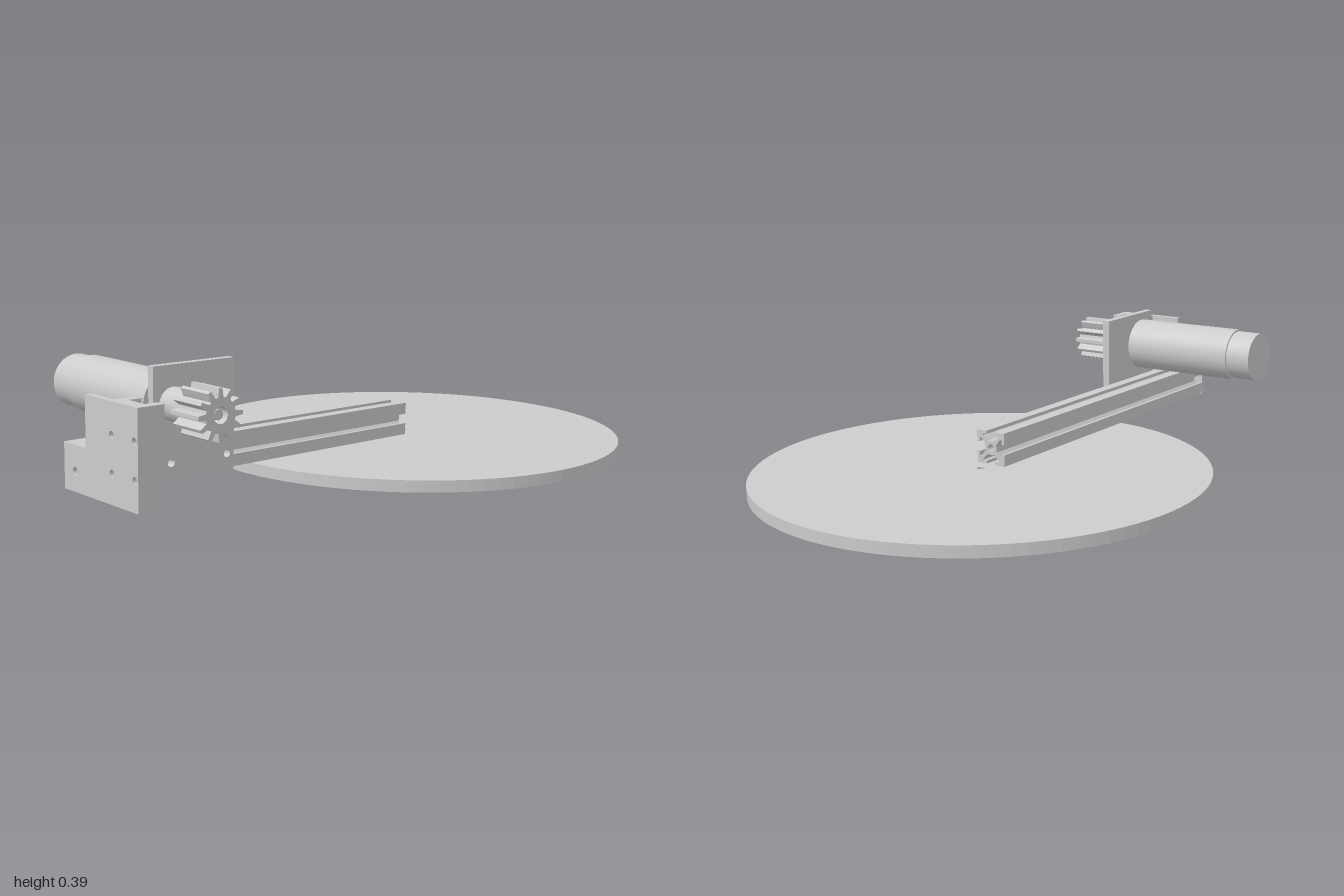
import * as THREE from 'three';

const material = new THREE.MeshStandardMaterial({ color: 0xcccccc });

function addMesh(parent, name, geometry) {
  const mesh = new THREE.Mesh(geometry, material);
  mesh.name = name;
  parent.add(mesh);
  return mesh;
}

// Shape from corner points, with round holes given as [x, y, radius]
function makeShape(points, holes = []) {
  const shape = new THREE.Shape(points.map(([x, y]) => new THREE.Vector2(x, y)));
  return addHoles(shape, holes);
}

function addHoles(shape, holes) {
  for (const [x, y, r] of holes) {
    shape.holes.push(new THREE.Path().absarc(x, y, r, 0, Math.PI * 2, true));
  }
  return shape;
}

const rect = (x0, y0, x1, y1) => [[x0, y0], [x1, y0], [x1, y1], [x0, y1]];

function extrude(shape, depth, curveSegments = 16) {
  return new THREE.ExtrudeGeometry(shape, { depth, curveSegments, bevelEnabled: false });
}

// Cylinder lying along x
function rodX(radius, x0, x1, y, z, segments = 48) {
  return new THREE.CylinderGeometry(radius, radius, x1 - x0, segments)
    .rotateZ(-Math.PI / 2)
    .translate((x0 + x1) / 2, y, z);
}

function createDisc(parent) {
  const shape = new THREE.Shape().absarc(0, 0, 0.713, 0, Math.PI * 2);
  addHoles(shape, [[0, 0, 0.013], [0, -0.075, 0.006], [0, -0.15, 0.006]]);
  addMesh(parent, 'turntableDisc', extrude(shape, 0.036, 48)
    .rotateX(-Math.PI / 2).translate(0, -0.018, 0));
}

function createRail(parent) {
  // One slotted side, repeated four times around the core
  const h = 0.053;
  const side = [
    [h, -h], [h, -0.016], [h - 0.01, -0.016], [h - 0.01, -0.03], [h - 0.016, -0.03],
    [0.022, -0.012], [0.022, 0.012],
    [h - 0.016, 0.03], [h - 0.01, 0.03], [h - 0.01, 0.016], [h, 0.016],
  ];
  const points = [];
  for (let i = 0; i < 4; i++) {
    const c = Math.round(Math.cos(i * Math.PI / 2));
    const s = Math.round(Math.sin(i * Math.PI / 2));
    for (const [x, y] of side) points.push([c * x - s * y, s * x + c * y]);
  }
  addMesh(parent, 'slottedRail', extrude(makeShape(points, [[0, 0, 0.012]]), 1.22)
    .translate(0, 0.071, 0.05));
}

function createMotor(parent) {
  const y = 0.239, z = 1.015;
  const motor = new THREE.Group();
  motor.name = 'motorUnit';
  parent.add(motor);

  // Upright mounting plate beside the rail
  const plate = makeShape(rect(-1.085, 0.018, -0.8, 0.352),
    [[-1.025, 0.069, 0.012], [-0.825, 0.069, 0.012]]);
  addMesh(motor, 'motorPlate', extrude(plate, 0.025).rotateY(Math.PI / 2).translate(0.055, 0, 0));

  addMesh(motor, 'motorBody', rodX(0.088, -0.34, 0.056, y, z));
  addMesh(motor, 'motorEndCap', rodX(0.082, -0.425, -0.34, y, z));
  addMesh(motor, 'gearHub', rodX(0.05, 0.08, 0.172, y, z, 32));
  addMesh(motor, 'motorShaft', rodX(0.015, 0.17, 0.285, y, z, 20));

  // Pinion with twelve tapered teeth
  const teeth = 12, points = [];
  for (let i = 0; i < teeth; i++) {
    const a = (i / teeth) * Math.PI * 2;
    for (const [r, d] of [[0.051, -0.17], [0.06, -0.13], [0.076, -0.07], [0.076, 0.07], [0.06, 0.13], [0.051, 0.17]]) {
      points.push([r * Math.cos(a + d), r * Math.sin(a + d)]);
    }
  }
  addMesh(motor, 'pinionGear', extrude(makeShape(points, [[0, 0, 0.024]]), 0.125)
    .rotateY(Math.PI / 2).translate(0.17, y, z));
}

function createBracket(parent) {
  const bracket = new THREE.Group();
  bracket.name = 'frontBracket';
  parent.add(bracket);
  const bottom = 0.012, step = 0.146, top = 0.294, right = 0.302;
  const rows = [0.098, 0.203];
  const columns = [0.181, 0.286];

  // L-shaped face plate
  const holes = columns.flatMap((x) => rows.map((y) => [x, y, 0.011]));
  const face = makeShape([[-0.055, bottom], [right, bottom], [right, top],
    [0.055, top], [0.055, step], [-0.055, step]], [...holes, [0, 0.071, 0.012]]);
  addMesh(bracket, 'facePlate', extrude(face, 0.02).translate(0, 0, 1.27));

  // Two drilled ribs with a thicker web between them
  for (const x of columns) {
    const rib = makeShape(rect(x - 0.016, bottom, x + 0.016, top), rows.map((y) => [x, y, 0.011]));
    addMesh(bracket, 'rib', extrude(rib, 0.065).translate(0, 0, 1.205));
  }
  const web = makeShape(rect(columns[0] + 0.016, bottom, columns[1] - 0.016, top));
  addMesh(bracket, 'web', extrude(web, 0.025).translate(0, 0, 1.245));

  // Flange resting on the rail
  const flange = makeShape(rect(-0.055, -1.27, 0.055, -1.195), [[0, -1.222, 0.012]]);
  addMesh(bracket, 'topFlange', extrude(flange, step - 0.124)
    .rotateX(-Math.PI / 2).translate(0, 0.124, 0));
}

export function createModel() {
  const model = new THREE.Group();
  model.name = 'motorTurntable';

  // The whole assembly leans slightly about the disc centre
  const assembly = new THREE.Group();
  assembly.name = 'assembly';
  assembly.position.set(0, 0.0325, -0.29);
  assembly.rotation.set(-0.009, 0.021, -0.0125);
  model.add(assembly);

  createDisc(assembly);
  createRail(assembly);
  createMotor(assembly);
  createBracket(assembly);
  return model;
}
